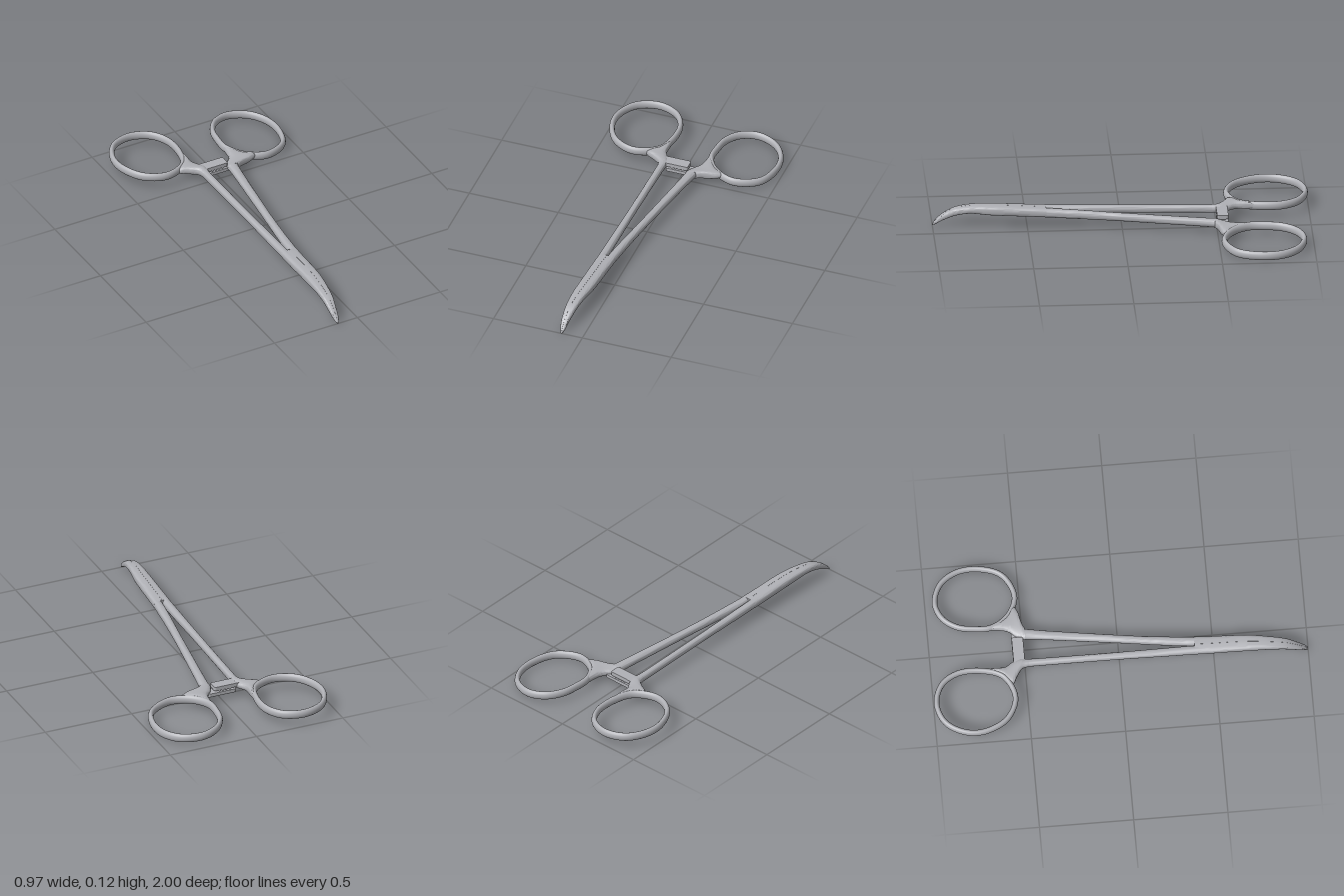
import * as THREE from 'three';
import { toCreasedNormals } from 'three/addons/utils/BufferGeometryUtils.js';

const steel = new THREE.MeshStandardMaterial({ color: 0xb0b1b6 });
steel.name = 'brushed steel';

// Loft along z. Each row is [z, xLeft, xRight, yBottom, yTop]; squareness < 1 gives boxier sections.
// clampX(x, t) may cut the section flat on one side.
function loft(rows, squareness, clampX = (x) => x) {
  const low = new THREE.CatmullRomCurve3(rows.map(([z, l, , b]) => new THREE.Vector3(l, b, z)), false, 'catmullrom');
  const high = new THREE.CatmullRomCurve3(rows.map(([z, , r, , t]) => new THREE.Vector3(r, t, z)), false, 'catmullrom');
  const steps = (rows.length - 1) * 6, sides = 28;
  const positions = [], indices = [];
  const bend = (v) => Math.sign(v) * Math.pow(Math.abs(v), squareness);
  for (let i = 0; i <= steps; i++) {
    const a = low.getPoint(i / steps), b = high.getPoint(i / steps);
    for (let j = 0; j < sides; j++) {
      const angle = (j / sides) * Math.PI * 2;
      const x = (a.x + b.x) / 2 + bend(Math.cos(angle)) * (b.x - a.x) / 2;
      const y = (a.y + b.y) / 2 + bend(Math.sin(angle)) * (b.y - a.y) / 2;
      positions.push(clampX(x, (a.x + b.x) / 2), y, a.z);
    }
  }
  for (let i = 0; i < steps; i++) {
    for (let j = 0; j < sides; j++) {
      const k = (j + 1) % sides, p = i * sides, q = p + sides;
      indices.push(p + j, p + k, q + j, p + k, q + k, q + j);
    }
  }
  // end caps
  const last = steps * sides;
  for (let j = 1; j < sides - 1; j++) {
    indices.push(0, j + 1, j, last, last + j, last + j + 1);
  }
  const geometry = new THREE.BufferGeometry();
  geometry.setAttribute('position', new THREE.Float32BufferAttribute(positions, 3));
  geometry.setIndex(indices);
  return toCreasedNormals(geometry, 0.7);
}

// Oval finger ring: a closed tube, stretched vertically and tilted across x.
function fingerRing(points, height, slope) {
  const curve = new THREE.CatmullRomCurve3(points.map(([x, z]) => new THREE.Vector3(x, 0, z)), true);
  const geometry = new THREE.TubeGeometry(curve, 96, 0.0145, 16, true);
  return geometry.applyMatrix4(new THREE.Matrix4().set(
    1, 0, 0, 0,
    slope, 1.62, 0, height,
    0, 0, 1, 0,
    0, 0, 0, 1));
}

export function createModel() {
  const model = new THREE.Group();
  model.name = 'lockingForceps';
  const add = (name, geometry, parent = model) => {
    const mesh = new THREE.Mesh(geometry, steel);
    mesh.name = name;
    parent.add(mesh);
    return mesh;
  };

  // Finger rings
  add('rightFingerRing', fingerRing([
    [-0.286, -0.985], [-0.18, -0.947], [-0.124, -0.857], [-0.122, -0.724], [-0.164, -0.618],
    [-0.286, -0.566], [-0.402, -0.618], [-0.464, -0.74], [-0.46, -0.846], [-0.397, -0.947],
  ], 0.0625, -0.024));
  add('leftFingerRing', fingerRing([
    [0.286, -0.947], [0.392, -0.91], [0.455, -0.82], [0.465, -0.703], [0.418, -0.581],
    [0.291, -0.523], [0.18, -0.57], [0.122, -0.66], [0.122, -0.756], [0.14, -0.841], [0.196, -0.915],
  ], 0.0617, -0.072));

  // Shanks, flaring at the back into a web that joins the ring
  add('rightShank', loft([
    [-0.72, -0.127, -0.112, 0.055, 0.08],
    [-0.66, -0.14, -0.114, 0.046, 0.089],
    [-0.62, -0.165, -0.115, 0.044, 0.09],
    [-0.597, -0.2, -0.108, 0.044, 0.09],
    [-0.57, -0.21, -0.09, 0.044, 0.09],
    [-0.548, -0.17, -0.078, 0.044, 0.09],
    [-0.52, -0.13, -0.072, 0.044, 0.09],
    [-0.49, -0.118, -0.076, 0.045, 0.088],
    [-0.42, -0.116, -0.079, 0.046, 0.088],
    [0, -0.12, -0.083, 0.055, 0.096],
    [0.3, -0.126, -0.083, 0.059, 0.103],
    [0.48, -0.128, -0.085, 0.063, 0.109],
  ], 0.75));
  add('leftShank', loft([
    [-0.7, 0.114, 0.13, 0.04, 0.066],
    [-0.66, 0.108, 0.135, 0.034, 0.073],
    [-0.6, 0.1, 0.16, 0.031, 0.075],
    [-0.565, 0.085, 0.19, 0.03, 0.075],
    [-0.54, 0.062, 0.23, 0.03, 0.075],
    [-0.515, 0.048, 0.2, 0.031, 0.076],
    [-0.49, 0.04, 0.112, 0.033, 0.077],
    [-0.43, 0.036, 0.086, 0.035, 0.078],
    [0, -0.025, 0.016, 0.048, 0.09],
    [0.2, -0.055, -0.012, 0.053, 0.098],
    [0.36, -0.077, -0.03, 0.057, 0.104],
    [0.48, -0.085, -0.042, 0.062, 0.109],
  ], 0.75));

  // Box lock and curved jaws, split along a closed centre seam
  const jawRows = [
    [0.4, -0.127, -0.034, 0.06, 0.106],
    [0.5, -0.13, -0.041, 0.062, 0.111],
    [0.6, -0.132, -0.046, 0.066, 0.116],
    [0.7, -0.135, -0.054, 0.07, 0.119],
    [0.8, -0.138, -0.07, 0.076, 0.115],
    [0.88, -0.138, -0.082, 0.062, 0.1],
    [0.94, -0.136, -0.095, 0.035, 0.069],
    [0.98, -0.131, -0.103, 0.012, 0.035],
    [1, -0.123, -0.111, 0, 0.011],
  ];
  const jaws = new THREE.Group();
  jaws.name = 'jaws';
  model.add(jaws);
  add('rightJaw', loft(jawRows, 0.5, (x, mid) => Math.min(x, mid - 0.0003)), jaws);
  add('leftJaw', loft(jawRows, 0.5, (x, mid) => Math.max(x, mid + 0.0003)), jaws);

  // Ratchet: two overlapping catch bars with facing teeth
  const ratchet = new THREE.Group();
  ratchet.name = 'ratchet';
  model.add(ratchet);
  const bar = (name, x0, x1, y0, y1) => {
    const shape = new THREE.Shape();
    const h = 0.03, r = 0.012, w = (x1 - x0) / 2;
    shape.moveTo(-w + r, -h).lineTo(w - r, -h).quadraticCurveTo(w, -h, w, -h + r)
      .lineTo(w, h - r).quadraticCurveTo(w, h, w - r, h)
      .lineTo(-w + r, h).quadraticCurveTo(-w, h, -w, h - r)
      .lineTo(-w, -h + r).quadraticCurveTo(-w, -h, -w + r, -h);
    const geometry = new THREE.ExtrudeGeometry(shape, { depth: y1 - y0, bevelEnabled: false });
    geometry.rotateX(-Math.PI / 2).translate((x0 + x1) / 2, y0, -0.53);
    add(name, geometry, ratchet);
  };
  bar('upperCatchBar', -0.11, 0.045, 0.063, 0.085);
  bar('lowerCatchBar', -0.08, 0.08, 0.033, 0.052);
  for (let i = 0; i < 4; i++) {
    const tooth = new THREE.CylinderGeometry(0.008, 0.008, 0.05, 3);
    tooth.rotateX(Math.PI / 2);
    add('ratchetTooth', tooth, ratchet).position.set(-0.045 + i * 0.02, 0.057, -0.53);
  }

  return model;
}
